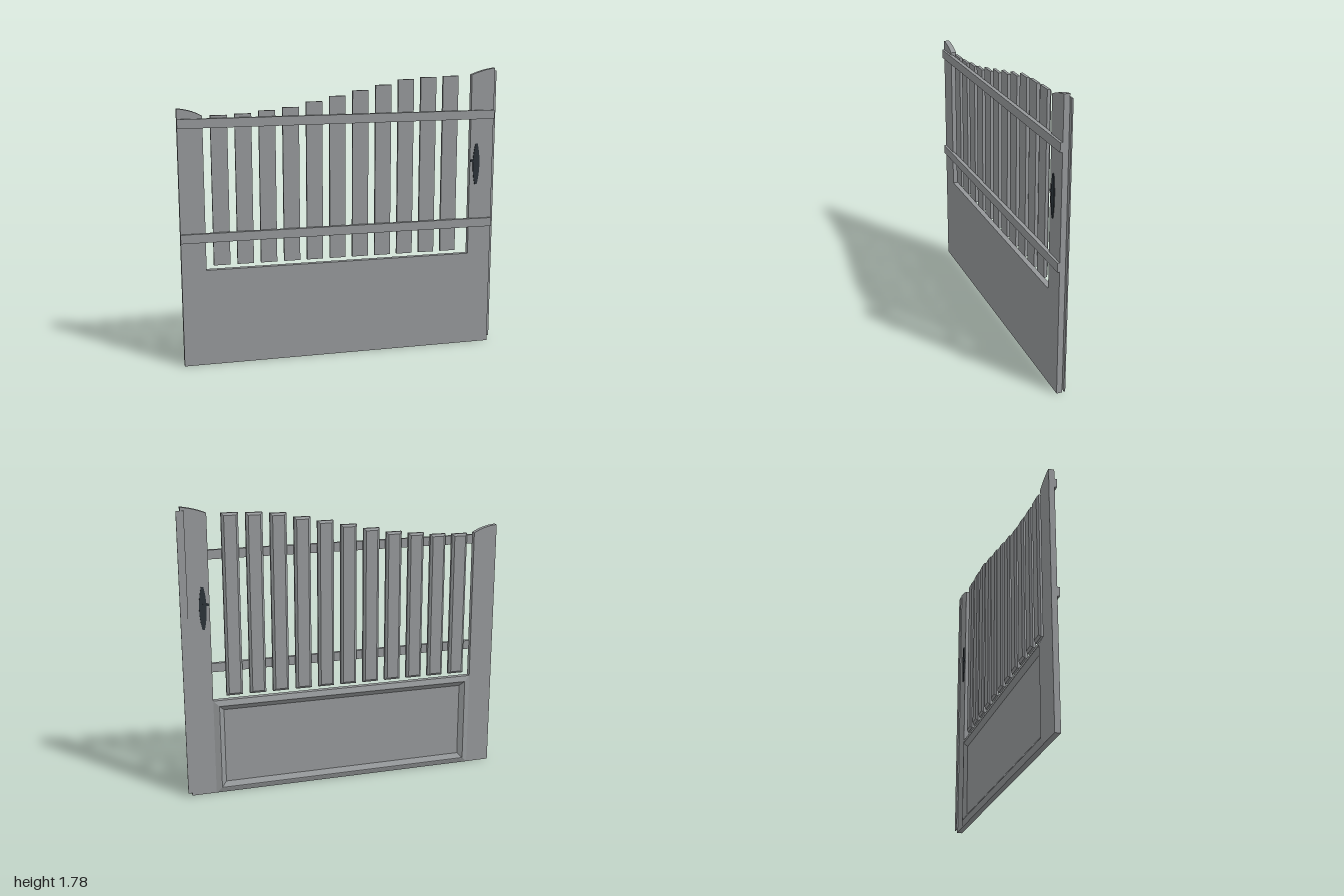
import * as THREE from 'three';

const grey = new THREE.MeshStandardMaterial({ color: 0x95989a });
grey.name = 'painted grey';
const dark = new THREE.MeshStandardMaterial({ color: 0x2b3238 });
dark.name = 'dark handle metal';

const FRONT = 0.016, BACK = -0.018;

// Solid through a series of rectangles [x0, x1, y0, y1, z], from front to back, capped at both ends
function rectLoft(rects) {
  const rings = rects.map(([x0, x1, y0, y1, z]) => [[x0, y0, z], [x1, y0, z], [x1, y1, z], [x0, y1, z]]);
  const pos = [];
  const quad = (a, b, c, d) => pos.push(...a, ...b, ...c, ...a, ...c, ...d);
  quad(...rings[0]);
  for (let i = 0; i < rings.length - 1; i++) {
    const f = rings[i], b = rings[i + 1];
    for (let k = 0; k < 4; k++) {
      const n = (k + 1) % 4;
      quad(f[n], f[k], b[k], b[n]);
    }
  }
  quad(...rings[rings.length - 1].slice().reverse());
  const geo = new THREE.BufferGeometry();
  geo.setAttribute('position', new THREE.Float32BufferAttribute(pos, 3));
  geo.computeVertexNormals();
  return geo;
}

const inset = ([x0, x1, y0, y1], d, z) => [x0 + d, x1 - d, y0 + d, y1 - d, z];

function extrude(shape, z0, z1) {
  const geo = new THREE.ExtrudeGeometry(shape, { depth: z1 - z0, bevelEnabled: false, curveSegments: 10 });
  geo.translate(0, 0, z0);
  return geo;
}

export function createModel() {
  const gate = new THREE.Group();
  gate.name = 'gate';
  const add = (name, geo, mat = grey) => {
    const mesh = new THREE.Mesh(geo, mat);
    mesh.name = name;
    gate.add(mesh);
    return mesh;
  };
  const box = (name, x0, x1, y0, y1, z0, z1, mat) => {
    const geo = new THREE.BoxGeometry(x1 - x0, y1 - y0, z1 - z0);
    geo.translate((x0 + x1) / 2, (y0 + y1) / 2, (z0 + z1) / 2);
    add(name, geo, mat);
  };

  // Side stiles with curved tops, highest at the outer edges
  const stile = (name, x0, x1, yLeft, yRight, cx, cy) => {
    const s = new THREE.Shape();
    s.moveTo(x0, 0);
    s.lineTo(x1, 0);
    s.lineTo(x1, yRight);
    s.quadraticCurveTo(cx, cy, x0, yLeft);
    add(name, extrude(s, BACK, FRONT));
  };
  stile('rightStile', -1, -0.85, 1.58, 1.535, -0.92, 1.575);
  stile('leftStile', 0.825, 0.975, 1.74, 1.78, 0.895, 1.77);

  // Lower panel: flat front, raised moulding around a sunken field on the back
  const area = [-0.85, 0.825, 0, 0.6];
  add('lowerPanel', rectLoft([
    inset(area, 0, FRONT),
    inset(area, 0, BACK),
    inset(area, 0.03, -0.029),
    inset(area, 0.035, -0.029),
    inset(area, 0.065, -0.008),
  ]));

  // Pickets, chamfered on the back, with tops following an S curve
  const tops = [1.535, 1.54, 1.555, 1.57, 1.6, 1.63, 1.66, 1.69, 1.72, 1.73, 1.735];
  tops.forEach((top, i) => {
    const x = -0.803 + i * 0.1443;
    const r = [x, x + 0.1, 0.625, top];
    add('picket' + (i + 1), rectLoft([
      inset(r, 0, 0.006), inset(r, 0, -0.012), inset(r, 0.014, -0.023),
    ]));
  });

  // Horizontal rails across the front
  box('upperRail', -1, 0.975, 1.465, 1.52, 0.006, 0.03);
  box('lowerRail', -1, 0.975, 0.775, 0.83, 0.006, 0.03);

  // Stop strip overlapping the back of the latch edge
  box('stopStrip', 0.955, 1, 0.02, 1.76, -0.026, BACK);

  // Handle plates and slim levers on both faces
  const plate = new THREE.Shape();
  plate.moveTo(0.859, 1.05);
  plate.lineTo(0.873, 1.05);
  plate.quadraticCurveTo(0.903, 1.18, 0.873, 1.31);
  plate.lineTo(0.859, 1.31);
  plate.quadraticCurveTo(0.829, 1.18, 0.859, 1.05);
  const sides = [['front', FRONT, FRONT + 0.004], ['back', BACK - 0.004, BACK]];
  for (const [side, z0, z1] of sides) {
    add(side + 'HandlePlate', extrude(plate, z0, z1), dark);
    box(side + 'Lever', 0.826, 0.866, 1.194, 1.208, z0 - 0.001, z1 + 0.001, dark);
  }
  return gate;
}
